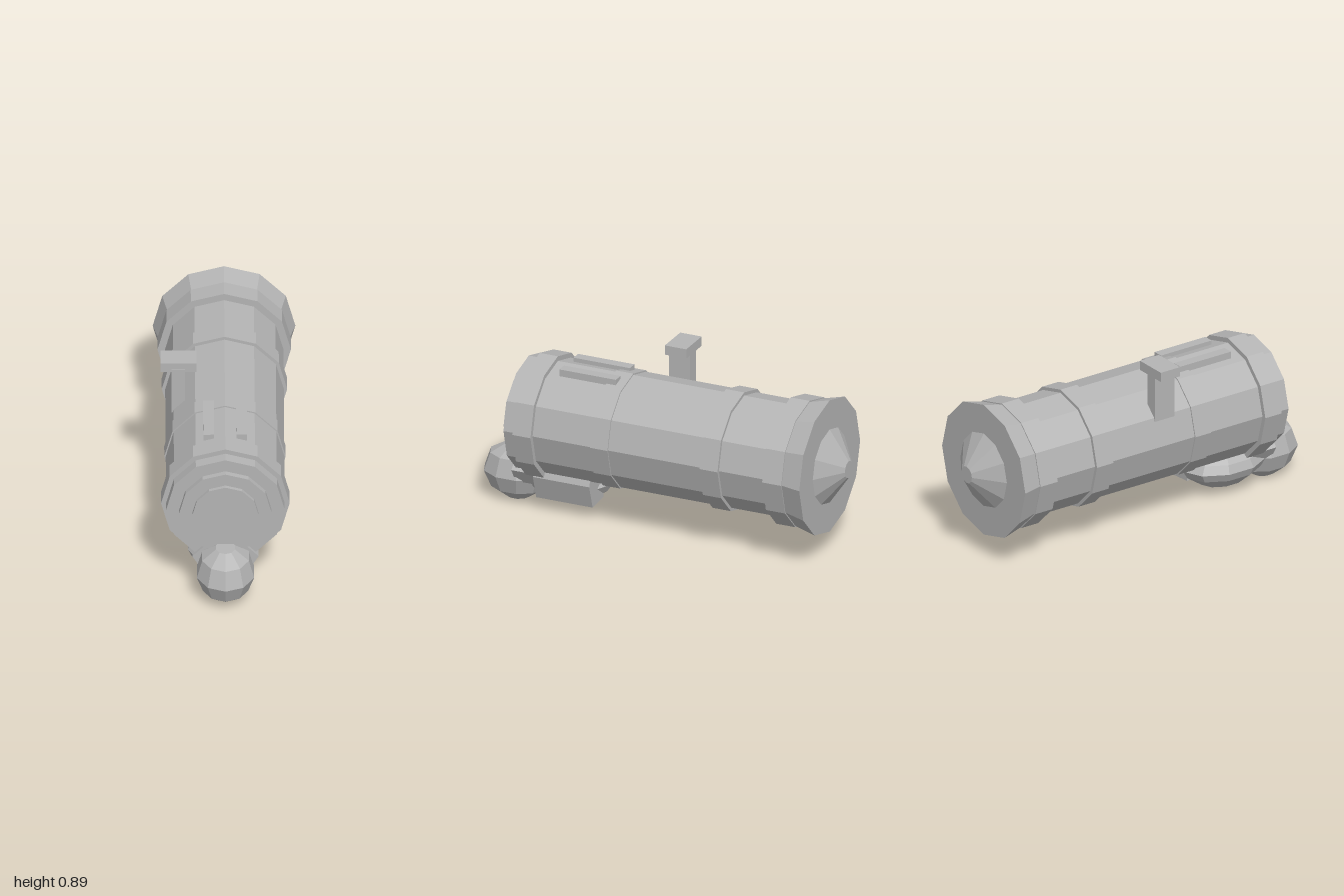
import * as THREE from 'three';

export function createModel() {
  const model = new THREE.Group();
  const grey = new THREE.MeshStandardMaterial({ color: 0xb4b4b4, flatShading: true });
  grey.name = 'grey metal';

  const add = (name, geometry) => {
    const mesh = new THREE.Mesh(geometry, grey);
    mesh.name = name;
    model.add(mesh);
    return mesh;
  };

  // Twelve-sided drum on the tube axis, between two z positions
  const AXIS_Y = 0.47;
  const drum = (name, zFront, zBack, rFront, rBack = rFront) => {
    const g = new THREE.CylinderGeometry(rFront, rBack, zFront - zBack, 12);
    g.rotateX(Math.PI / 2);
    add(name, g).position.set(0, AXIS_Y, (zFront + zBack) / 2);
  };

  // Box given by its limits on each axis
  const block = (name, [x0, x1], [y0, y1], [z0, z1]) => {
    add(name, new THREE.BoxGeometry(x1 - x0, y1 - y0, z1 - z0))
      .position.set((x0 + x1) / 2, (y0 + y1) / 2, (z0 + z1) / 2);
  };

  // Faceted pod: stacked rings of [radius, y], stretched along z
  const pod = (name, rings, sides, scaleZ, x, z) => {
    const points = rings.map(([r, y]) => new THREE.Vector2(r, y));
    const mesh = add(name, new THREE.LatheGeometry(points, sides).scale(1, 1, scaleZ));
    mesh.position.set(x, 0, z);
  };

  // Prism with an xy outline, between two z positions
  const prism = (name, outline, zBack, zFront) => {
    const shape = new THREE.Shape(outline.map(([x, y]) => new THREE.Vector2(x, y)));
    const g = new THREE.ExtrudeGeometry(shape, { depth: zFront - zBack, bevelEnabled: false });
    add(name, g).position.z = zBack;
  };

  // Main tube, stepped nose and bands
  drum('tube', 0.76, -0.85, 0.295);
  drum('noseStep', 0.79, 0.74, 0.23);
  drum('noseCap', 0.81, 0.77, 0.165);
  drum('frontBand', 0.7, 0.6, 0.32);
  drum('gripBand', 0.28, 0.185, 0.302);
  drum('middleBand', -0.325, -0.425, 0.312);
  drum('rearBand', -0.68, -0.785, 0.332);

  // Flared tail with a blunt cone
  drum('tailFlare', -0.78, -0.895, 0.325, 0.355);
  drum('tailCone', -0.89, -1.0, 0.205, 0.045);

  // Sight on its post, and a pair of rails on top
  block('sightPost', [-0.265, -0.197], [0.6, 0.855], [-0.035, 0.082]);
  block('sightPlate', [-0.32, -0.14], [0.84, 0.89], [-0.04, 0.078]);
  for (const side of [-1, 1]) {
    block('topRail', [side * 0.082 - 0.027, side * 0.082 + 0.027], [0.735, 0.772], [0.23, 0.54]);
  }

  // Ball under the nose
  pod('frontBall', [
    [0, 0], [0.05, 0], [0.118, 0.055], [0.15, 0.14], [0.122, 0.235], [0.05, 0.285], [0, 0.285],
  ], 10, 1.2, 0, 0.82);

  // Neck joining ball and tube
  prism('neck', [
    [-0.165, 0.205], [-0.12, 0.13], [0.12, 0.13], [0.165, 0.205], [0.085, 0.285], [-0.085, 0.285],
  ], 0.6, 0.778);

  // Flattened pod with a slant-sided housing behind the ball
  pod('underPod', [
    [0, 0.04], [0.09, 0.04], [0.155, 0.1], [0.175, 0.143], [0.155, 0.187], [0.09, 0.24], [0, 0.24],
  ], 10, 1.37, -0.02, 0.55);
  prism('underHousing', [
    [0, 0.075], [0.125, 0.065], [0.165, 0.19], [0.15, 0.23], [0, 0.25],
  ], 0.35, 0.66);

  return model;
}
